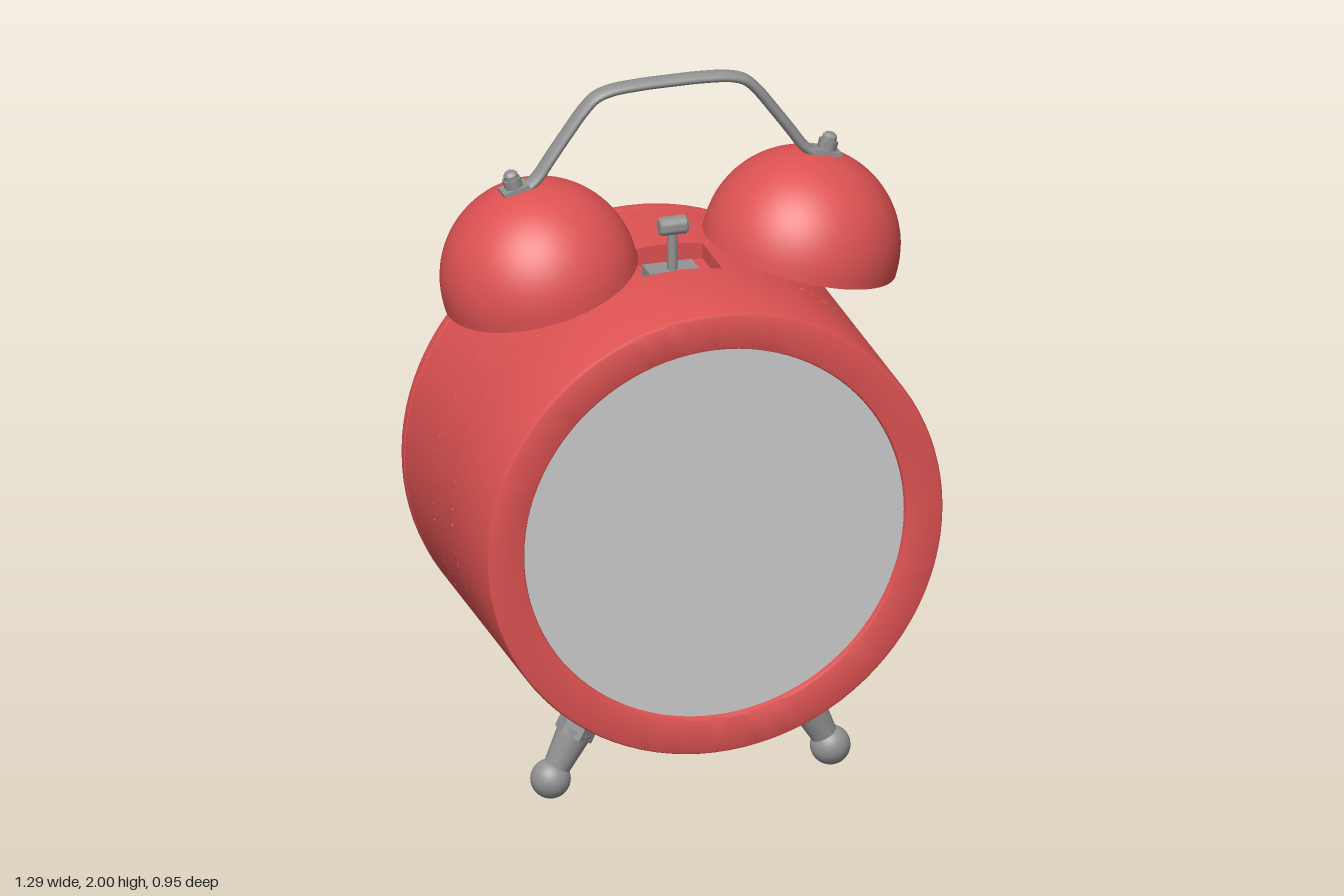
import * as THREE from 'three';
import { toCreasedNormals } from 'three/addons/utils/BufferGeometryUtils.js';

const mat = (color) => new THREE.MeshStandardMaterial({ color });
const red = mat(0xde5252), metal = mat(0x929292), dark = mat(0x4c4c4c), pale = mat(0xcccccc);
const CY = 0.82, R = 0.645, BELL_Z = 0.06, BACK = -0.355;
const V = (x, y, z) => new THREE.Vector3(x, y, z);

function add(parent, name, geo, material, x = 0, y = 0, z = 0) {
  const mesh = new THREE.Mesh(geo, material);
  mesh.name = name;
  mesh.position.set(x, y, z);
  parent.add(mesh);
  return mesh;
}
function group(parent, name) {
  const g = new THREE.Group();
  g.name = name;
  parent.add(g);
  return g;
}
function lathe(points, seg = 96, start = 0, length = Math.PI * 2) {
  const pts = points.map(([r, h]) => new THREE.Vector2(r, h));
  return toCreasedNormals(new THREE.LatheGeometry(pts, seg, start, length), 0.6);
}
// cylinder whose axis lies along z, wider end set separately
const zCyl = (rFront, rBack, h, seg = 32) =>
  new THREE.CylinderGeometry(rFront, rBack, h, seg).rotateX(Math.PI / 2);

// points of a quarter arc, from angle a to b
const arc = (cx, cy, r, a, b, n) => Array.from({ length: n + 1 }, (_, i) => {
  const t = a + (b - a) * i / n;
  return [cx + r * Math.cos(t), cy + r * Math.sin(t)];
});

function buildBody(root) {
  const body = group(root, 'body');
  const H = Math.PI / 2, z0 = BELL_Z - 0.09, z1 = BELL_Z + 0.09, w = 0.12;
  const gap = Math.asin(w / R);
  const part = (name, pts, start, len) => {
    add(body, name, lathe(pts, 96, start, len).rotateX(H), red, 0, CY, 0);
  };
  // rounded back cover with a fine seam, then the drum
  part('backCover', [[0, BACK], [0.575, BACK], ...arc(R - 0.05, BACK + 0.05, 0.05, -H, 0, 8).map(
    ([r, z]) => [r, z]), [R, -0.289], [R - 0.005, -0.287], [R - 0.005, -0.283], [R, -0.281]]);
  part('rearWall', [[R, -0.281], [R, z0]]);
  part('middleWall', [[R, z0], [R, z1]], Math.PI + gap, Math.PI * 2 - 2 * gap);
  part('frontWallAndBezel', [[R, z1], [R, 0.466], [R - 0.003, 0.472], [R - 0.01, 0.475],
    [0.548, 0.475], [0.541, 0.472], [0.538, 0.465], [0.538, 0.445]]);
  add(body, 'dial', new THREE.CircleGeometry(0.54, 96), pale, 0, CY, 0.458);

  // hammer pocket: a segment-shaped solid turned inside out
  const s = new THREE.Shape();
  s.moveTo(-w, 0.59);
  s.lineTo(w, 0.59);
  s.absarc(0, 0, R, H - gap, H + gap, false);
  s.closePath();
  const pocket = new THREE.ExtrudeGeometry(s, { depth: z1 - z0, bevelEnabled: false, curveSegments: 12 });
  pocket.scale(1, 1, -1);
  pocket.computeVertexNormals();
  add(body, 'hammerPocket', pocket, red, 0, CY, z1);
}

function buildHammer(root) {
  const hammer = group(root, 'hammer');
  add(hammer, 'hammerPlate', new THREE.BoxGeometry(0.14, 0.03, 0.07), metal, 0, 1.425, 0.065);
  add(hammer, 'hammerRod', new THREE.CylinderGeometry(0.014, 0.014, 0.16, 16), metal, 0, 1.49, 0.08);
  const head = lathe([[0, -0.04], [0.02, -0.04], [0.026, -0.033], [0.026, 0.033], [0.02, 0.04], [0, 0.04]], 24);
  add(hammer, 'hammerHead', head.rotateZ(Math.PI / 2), metal, 0, 1.57, 0.085);
}

function buildBell(root, side) {
  const name = side > 0 ? 'left' : 'right';
  const bell = group(root, name + 'Bell');
  bell.position.set(side * 0.365, 1.44, BELL_Z);
  bell.rotation.z = -side * Math.PI / 12;
  const H = Math.PI / 2, rim = 0.02;
  const inner = arc(0, rim, 0.26, H, 0, 20), outer = arc(0, rim, 0.27, 0, H, 24);
  add(bell, 'bellDome', lathe([...inner, [0.26, 0], [0.27, 0], ...outer], 64), red);
  // handle tab, nut and stud end
  add(bell, 'handleTab', new THREE.BoxGeometry(0.075, 0.012, 0.055), metal, 0, 0.294, 0);
  add(bell, 'bellNut', new THREE.CylinderGeometry(0.027, 0.027, 0.028, 6), metal, 0, 0.312, 0);
  add(bell, 'studEnd', lathe([[0.02, 0], [0.02, 0.014], [0.013, 0.022], [0, 0.024]], 20), metal, 0, 0.324, 0);

  // post between body and bell
  const a = V(side * 0.285, 1.34, BELL_Z), b = V(side * 0.435, 1.7, BELL_Z);
  const post = group(root, name + 'BellPost');
  post.position.copy(a);
  post.quaternion.setFromUnitVectors(V(0, 1, 0), b.clone().sub(a).normalize());
  add(post, 'postRod', new THREE.CylinderGeometry(0.025, 0.025, 0.38, 24), metal, 0, 0.19, 0);
  add(post, 'postWasher', new THREE.CylinderGeometry(0.055, 0.055, 0.02, 24), metal, 0, 0.045, 0);
}

function buildHandle(root) {
  const half = [[0.435, 1.715], [0.4, 1.728], [0.375, 1.75], [0.34, 1.8], [0.29, 1.87], [0.245, 1.93],
    [0.212, 1.962], [0.17, 1.977], [0.09, 1.984]];
  const pts = [...half.map(([x, y]) => V(-x, y, 0)), V(0, 1.985, 0),
    ...half.slice().reverse().map(([x, y]) => V(x, y, 0))];
  const tube = new THREE.TubeGeometry(new THREE.CatmullRomCurve3(pts), 96, 0.015, 16);
  add(root, 'carryHandle', tube.scale(1, 1, 1.8), metal, 0, 0, BELL_Z);
}

function buildFoot(root, side) {
  const foot = group(root, side > 0 ? 'leftFoot' : 'rightFoot');
  const dir = V(side * 0.395, -0.76, 0).normalize();
  foot.position.set(0, CY, 0.245);
  foot.quaternion.setFromUnitVectors(V(0, -1, 0), dir);
  const hex = (r, h) => toCreasedNormals(new THREE.CylinderGeometry(r, r, h, 6), 0.4);
  add(foot, 'footFlange', hex(0.07, 0.045), metal, 0, -0.645, 0);
  add(foot, 'footNut', hex(0.055, 0.06), metal, 0, -0.69, 0);
  add(foot, 'footLeg', new THREE.CylinderGeometry(0.05, 0.036, 0.13, 32), metal, 0, -0.765, 0);
  add(foot, 'footBall', new THREE.SphereGeometry(0.055, 32, 20), metal, 0, -0.858, 0);
}

function buildKnob(root, x) {
  const knob = group(root, 'windingKnob');
  knob.position.set(x, 0.855, BACK);
  add(knob, 'knobCollar', zCyl(0.05, 0.046, 0.024), red, 0, 0, -0.01);
  add(knob, 'knobNeck', zCyl(0.04, 0.04, 0.035), dark, 0, 0, -0.036);
  // ribbed grip
  const s = new THREE.Shape();
  const ribs = 18;
  for (let i = 0; i < ribs * 4; i++) {
    const r = i % 4 < 2 ? 0.056 : 0.05, t = i / (ribs * 4) * Math.PI * 2;
    s[i ? 'lineTo' : 'moveTo'](r * Math.cos(t), r * Math.sin(t));
  }
  s.closePath();
  add(knob, 'knobGrip', new THREE.ExtrudeGeometry(s, { depth: 0.064, bevelEnabled: true,
    bevelSize: 0.002, bevelThickness: 0.002, bevelSegments: 1 }), dark, 0, 0, -0.118);
}

function buildBackDetails(root) {
  const back = group(root, 'backDetails');
  [-0.178, 0.193].forEach((x) => buildKnob(back, x));
  // small push pins
  [-0.31, 0.305].forEach((x) => {
    const pin = new THREE.SphereGeometry(0.022, 20, 12).scale(1, 1, 0.7);
    add(back, 'pin', pin, metal, x, 1.08, BACK);
  });
  // rounded slide switch
  const s = new THREE.Shape(), h = 0.058, c = 0.025;
  s.moveTo(-h + c, -h);
  s.absarc(h - c, -h + c, c, -Math.PI / 2, 0);
  s.absarc(h - c, h - c, c, 0, Math.PI / 2);
  s.absarc(-h + c, h - c, c, Math.PI / 2, Math.PI);
  s.absarc(-h + c, -h + c, c, Math.PI, Math.PI * 1.5);
  add(back, 'switchPlate', new THREE.ExtrudeGeometry(s, { depth: 0.02, bevelEnabled: true, bevelSize: 0.004,
    bevelThickness: 0.004, bevelSegments: 2 }), metal, 0.398, 0.85, BACK - 0.01);
  // rounded battery cover bar with a small catch below
  const bar = new THREE.CylinderGeometry(0.046, 0.046, 0.31, 32).rotateZ(Math.PI / 2).scale(1, 1, 0.95);
  add(back, 'batteryCoverBar', bar, red, 0, 0.415, BACK);
  const catchFrame = new THREE.Shape([[-0.06, -0.03], [0.06, -0.03], [0.06, 0.03], [-0.06, 0.03]]
    .map(([x, y]) => new THREE.Vector2(x, y)));
  catchFrame.holes.push(new THREE.Path([[-0.045, -0.018], [-0.045, 0.018], [0.045, 0.018], [0.045, -0.018]]
    .map(([x, y]) => new THREE.Vector2(x, y))));
  add(back, 'coverCatchFrame', new THREE.ExtrudeGeometry(catchFrame, { depth: 0.01, bevelEnabled: false }),
    red, 0, 0.34, BACK - 0.006);
  add(back, 'coverCatchScrew', zCyl(0.014, 0.014, 0.012, 20), metal, 0, 0.34, BACK);
}

export function createModel() {
  const root = new THREE.Group();
  root.name = 'alarmClock';
  buildBody(root);
  buildHammer(root);
  buildHandle(root);
  for (const side of [-1, 1]) {
    buildBell(root, side);
    buildFoot(root, side);
  }
  buildBackDetails(root);
  return root;
}
